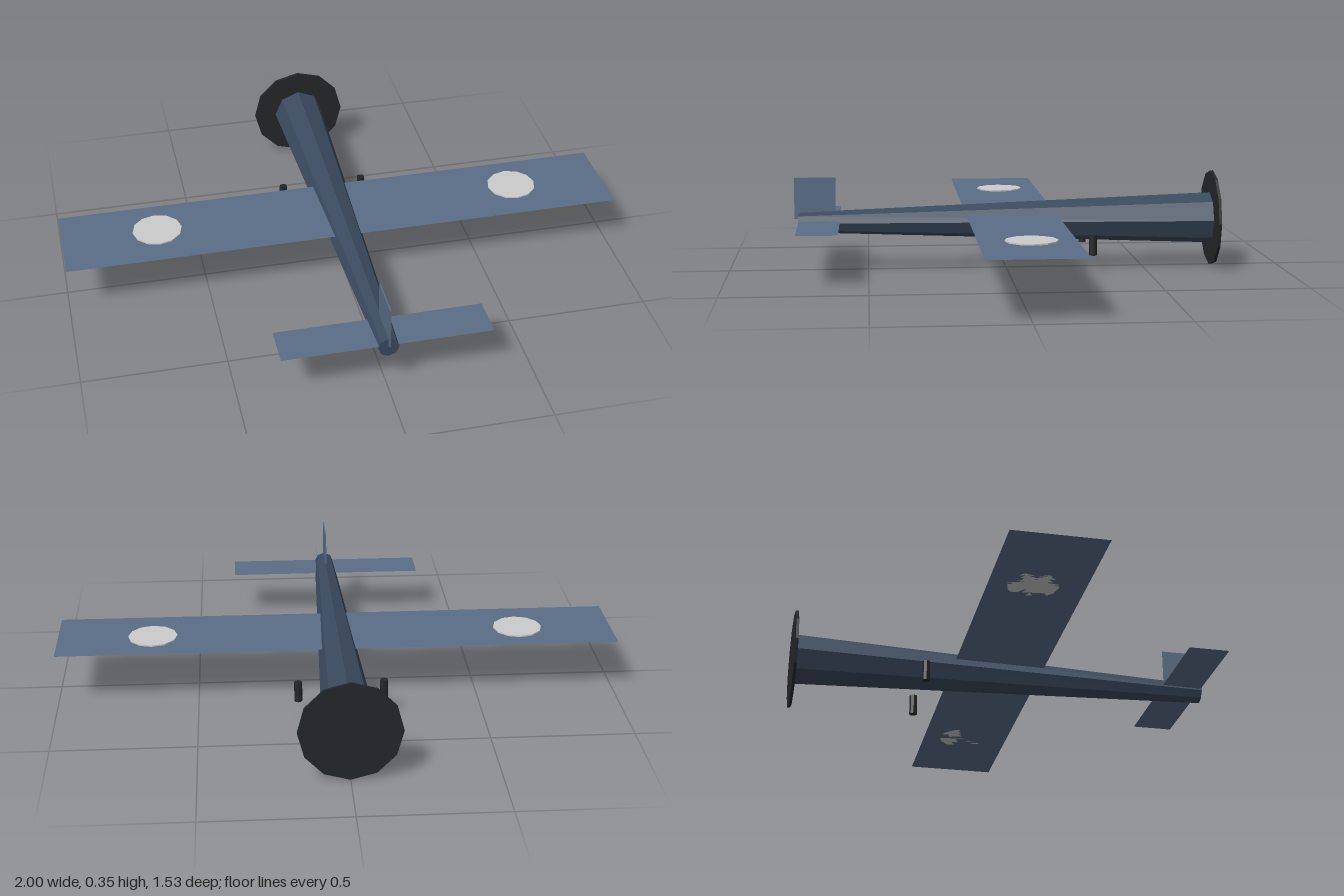
import * as THREE from 'three';

const paint = (color, extra = {}) => new THREE.MeshStandardMaterial({ color, flatShading: true, ...extra });

export function createModel() {
  const model = new THREE.Group();
  model.name = 'airplane';

  const bodyPaint = paint(0x3a4a5e);
  const wingPaint = paint(0x5a6e87, { side: THREE.DoubleSide });
  const darkPaint = paint(0x24272a);
  const discPaint = paint(0xcccccc);
  const axisY = 0.178;

  const add = (name, geometry, material, x, y, z) => {
    const mesh = new THREE.Mesh(geometry, material);
    mesh.name = name;
    mesh.position.set(x, y, z);
    model.add(mesh);
    return mesh;
  };

  // Tapered octagonal fuselage, widest at the nose (-z)
  add('fuselage', new THREE.CylinderGeometry(0.036, 0.093, 1.5, 8).rotateX(Math.PI / 2),
    bodyPaint, 0, axisY, 0);

  // Propeller disc, a corner pointing straight up
  add('propellerDisc', new THREE.CylinderGeometry(0.174, 0.174, 0.01, 12).rotateX(Math.PI / 2),
    darkPaint, 0, axisY, -0.757);

  // Flat wing and tailplane
  const sheet = (width, depth) => new THREE.PlaneGeometry(width, depth).rotateX(-Math.PI / 2);
  add('wing', sheet(2, 0.326), wingPaint, 0, 0.206, -0.015);
  add('tailplane', sheet(0.72, 0.146), wingPaint, 0, 0.185, 0.675);

  // Upright tail fin
  add('tailFin', new THREE.BoxGeometry(0.005, 0.15, 0.148), wingPaint, 0, 0.265, 0.69);

  // Wing discs and landing struts, mirrored left and right
  for (const [side, label] of [[1, 'left'], [-1, 'right']]) {
    add(label + 'WingDisc', new THREE.CylinderGeometry(0.088, 0.088, 0.005, 12),
      discPaint, side * 0.66, 0.2085, -0.028);
    add(label + 'LandingStrut', new THREE.CylinderGeometry(0.014, 0.014, 0.073, 8),
      darkPaint, side * 0.15, 0.105, -0.3);
  }

  return model;
}
